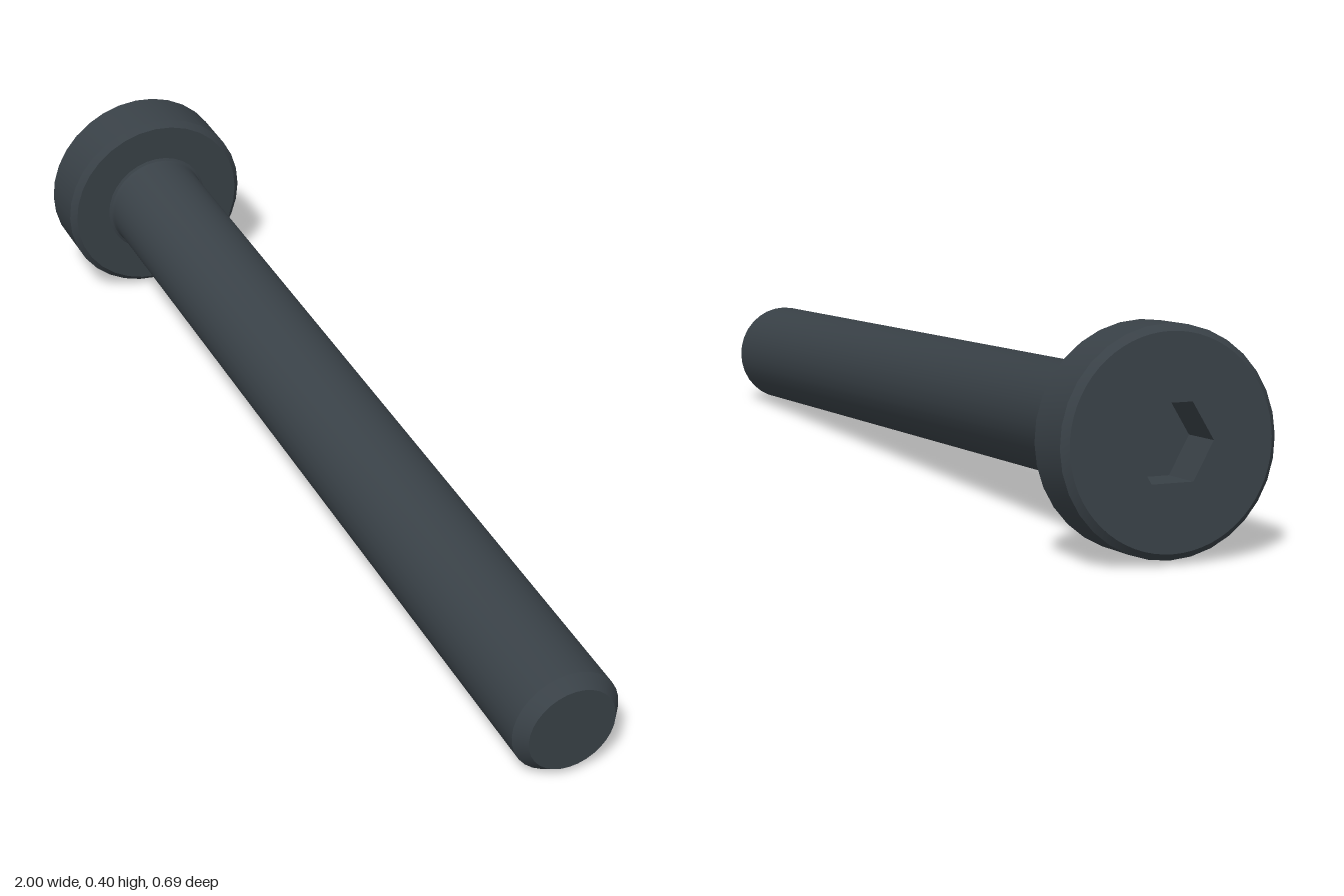
import * as THREE from 'three';
import { toCreasedNormals } from 'three/addons/utils/BufferGeometryUtils.js';

const SIDES = 32;
const HEAD_R = 0.195, HEAD_H = 0.125, BEVEL = 0.012;
const SHAFT_R = 0.102, TIP_R = 0.083, CHAMFER = 0.025;
const SOCKET_R = 0.076, SOCKET_DEPTH = 0.09;

export function createModel() {
  const steel = new THREE.MeshStandardMaterial({ color: 0x394147 });
  steel.name = 'dark steel';

  const group = new THREE.Group();
  group.name = 'screw';
  const add = (name, geometry) => {
    const mesh = new THREE.Mesh(toCreasedNormals(geometry, 0.5), steel);
    mesh.name = name;
    group.add(mesh);
  };
  const lathe = (points) =>
    new THREE.LatheGeometry(points.map(([r, y]) => new THREE.Vector2(r, y)), SIDES);

  // The screw axis runs from the middle of the head face to the middle of the tip
  const start = new THREE.Vector3(-0.96, 0.203, -0.158);
  const end = new THREE.Vector3(0.981, 0.1005, 0.254);
  const length = start.distanceTo(end);

  // Bevelled round head with its underside
  add('head', lathe([
    [HEAD_R - BEVEL, 0], [HEAD_R, BEVEL], [HEAD_R, HEAD_H - BEVEL],
    [HEAD_R - BEVEL, HEAD_H], [SHAFT_R, HEAD_H],
  ]));

  // Head face with a hexagonal hole
  const face = new THREE.Shape();
  face.absarc(0, 0, HEAD_R - BEVEL, 0, Math.PI * 2);
  const hexagon = [];
  for (let i = 0; i < 6; i++) {
    const a = (i * Math.PI) / 3;
    hexagon.push(new THREE.Vector2(SOCKET_R * Math.cos(a), SOCKET_R * Math.sin(a)));
  }
  face.holes.push(new THREE.Path(hexagon));
  add('headFace', new THREE.ShapeGeometry(face, SIDES).rotateX(Math.PI / 2));

  // Socket walls, mirrored to face inwards, and socket floor
  add('socketWalls', new THREE.CylinderGeometry(
    SOCKET_R, SOCKET_R, SOCKET_DEPTH, 6, 1, true, Math.PI / 2
  ).translate(0, SOCKET_DEPTH / 2, 0).scale(-1, 1, 1));
  add('socketFloor', new THREE.CircleGeometry(SOCKET_R, 6)
    .rotateX(Math.PI / 2).translate(0, SOCKET_DEPTH, 0));

  // Shaft with a small fillet under the head and a chamfered tip
  add('shaft', lathe([
    [SHAFT_R + 0.008, HEAD_H], [SHAFT_R + 0.003, HEAD_H + 0.003],
    [SHAFT_R, HEAD_H + 0.01], [SHAFT_R, length - CHAMFER],
    [TIP_R, length], [0, length],
  ]));

  // Lay the screw along its axis, with two socket corners level
  const axis = end.clone().sub(start).normalize();
  const level = new THREE.Vector3(-axis.z, 0, axis.x).normalize();
  const third = new THREE.Vector3().crossVectors(level, axis);
  group.quaternion.setFromRotationMatrix(new THREE.Matrix4().makeBasis(level, axis, third));
  group.position.copy(start);

  const model = new THREE.Group();
  model.name = 'socketScrew';
  model.add(group);
  return model;
}
